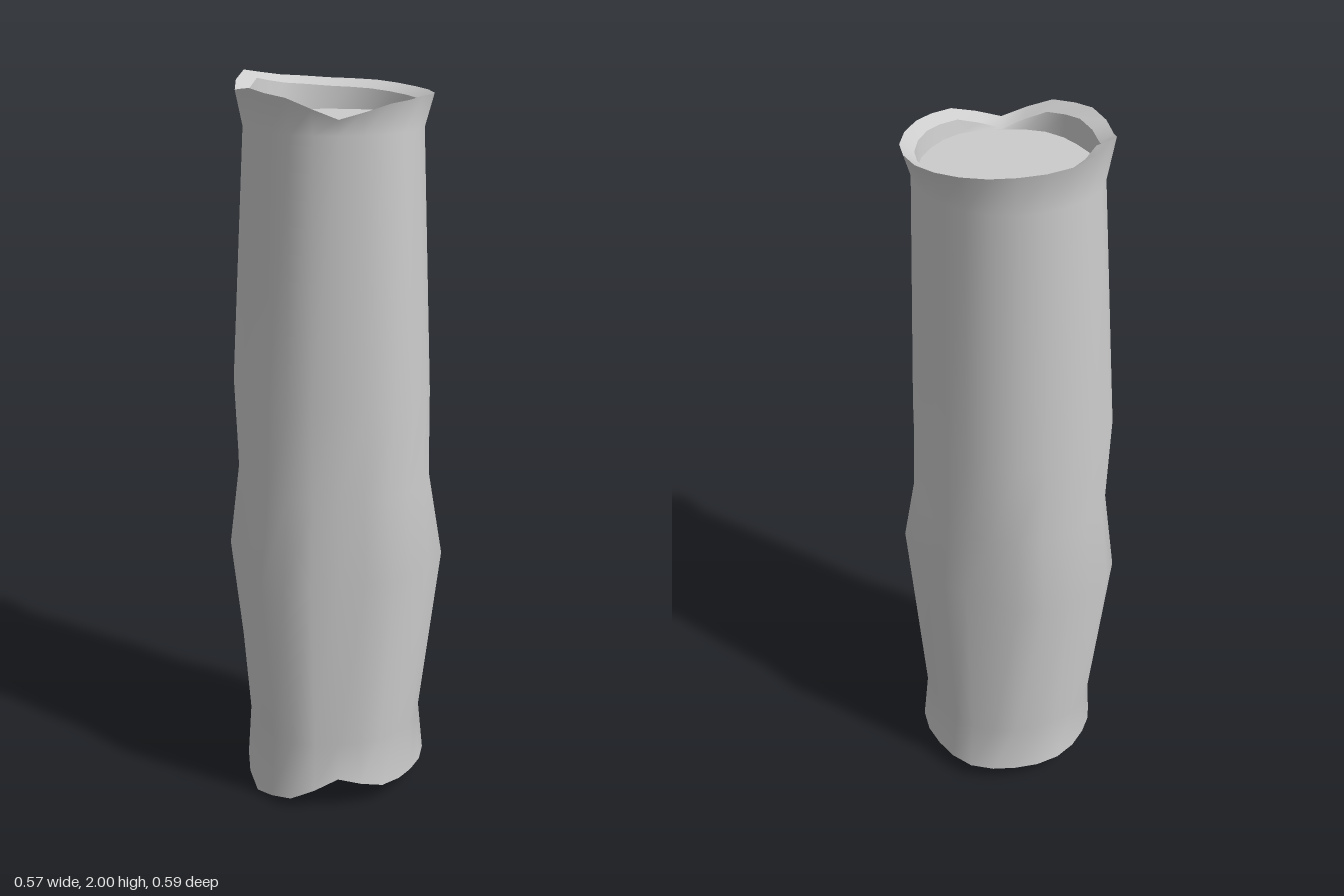
import * as THREE from 'three';

const N = 24;
const material = new THREE.MeshStandardMaterial({ color: 0xcccccc, side: THREE.DoubleSide });

// Value of a closed list of samples at column i, starting at +z and turning towards +x
function sample(list, i) {
  if (typeof list === 'number') return list;
  const t = (i / N) * list.length, k = Math.floor(t);
  return THREE.MathUtils.lerp(list[k % list.length], list[(k + 1) % list.length], t - k);
}

// One closed cross-section from radii and heights
function ring(radii, heights, scale = 1, lift = 0) {
  return Array.from({ length: N }, (_, i) => {
    const a = (i / N) * Math.PI * 2, r = sample(radii, i) * scale;
    return [Math.sin(a) * r, sample(heights, i) + lift, Math.cos(a) * r];
  });
}

// Skin of quads through a stack of rings
function loft(name, rings) {
  const index = [];
  for (let j = 0; j < rings.length - 1; j++) {
    for (let i = 0; i < N; i++) {
      const a = j * N + i, b = j * N + (i + 1) % N;
      index.push(a, b, b + N, a, b + N, a + N);
    }
  }
  const geometry = new THREE.BufferGeometry();
  geometry.setAttribute('position', new THREE.Float32BufferAttribute(rings.flat(2), 3));
  geometry.setIndex(index);
  geometry.computeVertexNormals();
  const mesh = new THREE.Mesh(geometry, material);
  mesh.name = name;
  return mesh;
}

export function createModel() {
  const group = new THREE.Group();
  group.name = 'log';

  // Ragged end edges
  const topR = [.255, .25, .26, .262, .26, .25, .26, .262, .25, .248, .255, .245];
  const topY = [1.945, 1.955, 1.95, 1.955, 1.965, 1.97, 1.98, 2.0, 1.96, 1.975, 1.96, 1.91];
  const bottomR = [.255, .25, .265, .258, .265, .25, .258, .25, .25, .26, .265, .25];
  const bottomY = [.06, .05, .05, .05, .05, .05, .06, .06, .05, 0, .03, .1];

  // Lobed trunk sections, bulging below the middle
  const lowR = [.24, .245, .25, .232, .25, .24, .24, .25, .24, .24, .255, .235];
  const bulgeR = [.294, .284, .292, .307, .291, .296, .275, .275, .27, .252, .285, .287,
    .295, .295, .304, .3, .276, .265, .285, .293, .294, .288, .265, .277];
  const bulgeY = [.7, .7, .72, .75, .74, .7, .7, .7, .68, .66, .67, .7];
  const waistR = [.265, .27, .265, .256, .25, .265, .265, .28, .26, .255, .265, .255];
  const upperR = [.293, .275, .255, .24, .255, .28, .295, .295, .265, .245, .262, .265];
  const neckR = [.236, .237, .236, .23, .235, .235, .236, .24, .232, .226, .235, .232];

  // Bark
  group.add(loft('bark', [
    ring(bottomR, bottomY),
    ring(lowR, .2),
    ring(bulgeR, bulgeY),
    ring(waistR, .93),
    ring(upperR, 1.18),
    ring(neckR, 1.87),
    ring(topR, topY),
  ]));

  // Sloping rims that lead into the recessed ends
  const innerR = [.226, .22, .225, .23, .222, .222, .235, .223, .216, .21, .22, .215];
  const topFloor = ring(innerR, 1.89, .97), bottomFloor = ring(innerR, .12, .97);
  group.add(loft('topRim', [ring(topR, topY), ring(innerR, topY, 1, -.02)]));
  group.add(loft('topInnerWall', [ring(innerR, topY, 1, -.02), topFloor]));
  group.add(loft('bottomRim', [ring(innerR, bottomY, 1, .015), ring(bottomR, bottomY)]));
  group.add(loft('bottomInnerWall', [bottomFloor, ring(innerR, bottomY, 1, .015)]));

  // Cut wood faces
  group.add(loft('topCut', [topFloor, ring(0, 1.89)]));
  group.add(loft('bottomCut', [ring(0, .12), bottomFloor]));

  return group;
}
